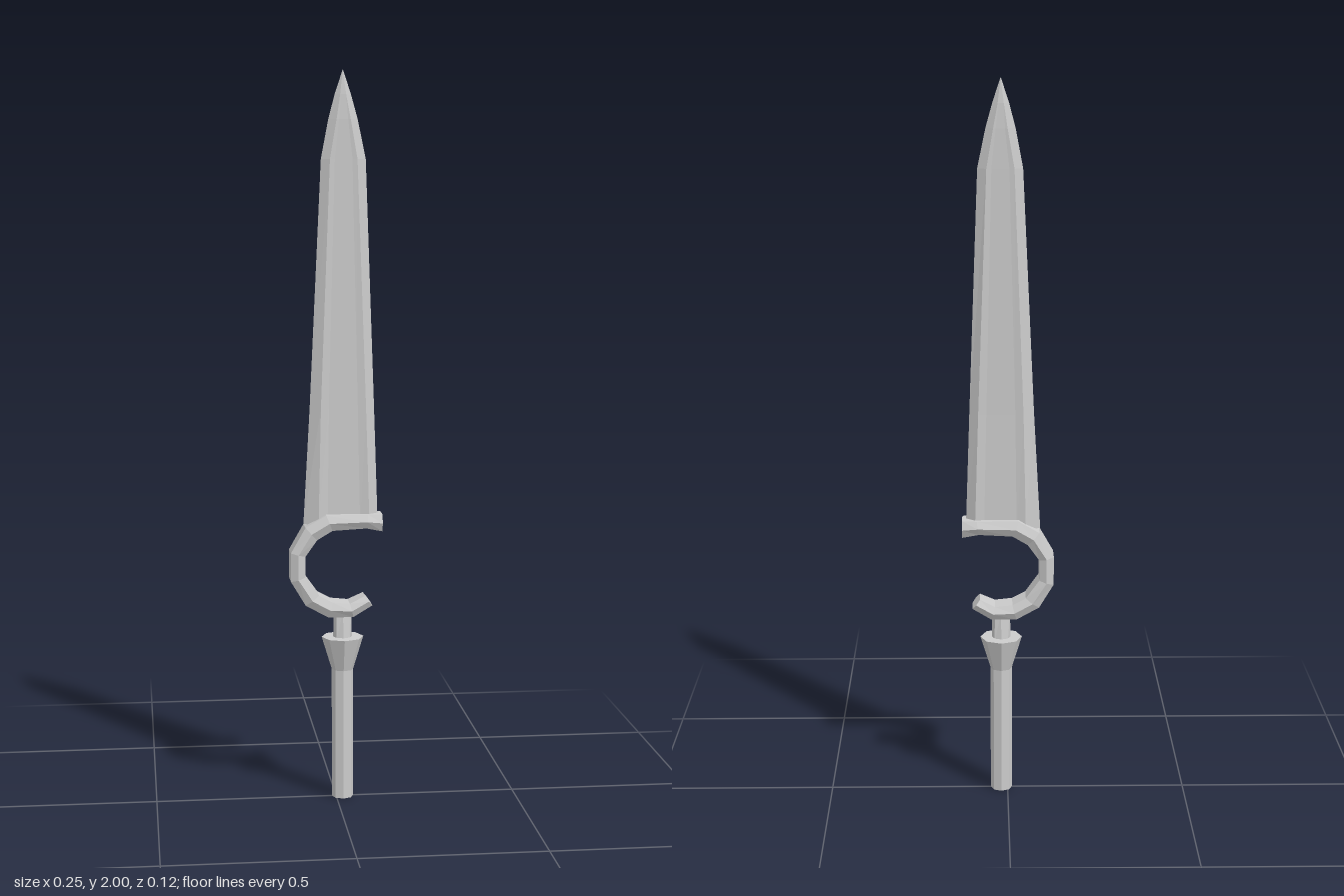
import * as THREE from 'three';

const CENTER_X = 0.018;

function makeMaterial() {
  return new THREE.MeshStandardMaterial({ color: 0xcccccc, flatShading: true });
}

// Skins a closed solid over rings; each ring runs counter-clockwise seen from the end of the path.
function loft(rings) {
  const pos = [];
  const tri = (a, b, c) => pos.push(...a, ...b, ...c);
  const n = rings[0].length;
  const middle = (ring) => [0, 1, 2].map((k) => ring.reduce((s, p) => s + p[k], 0) / n);
  const first = rings[0];
  const last = rings[rings.length - 1];
  const m0 = middle(first);
  const m1 = middle(last);
  for (let j = 0; j < n; j++) {
    const k = (j + 1) % n;
    for (let i = 0; i < rings.length - 1; i++) {
      const [a, b, c, d] = [rings[i][j], rings[i][k], rings[i + 1][k], rings[i + 1][j]];
      tri(a, b, c);
      tri(a, c, d);
    }
    tri(m0, first[k], first[j]);
    tri(m1, last[j], last[k]);
  }
  const geo = new THREE.BufferGeometry();
  geo.setAttribute('position', new THREE.Float32BufferAttribute(pos, 3));
  geo.computeVertexNormals();
  return geo;
}

// Blade: bevelled edges, ridges and a shallow hollow between them.
function bladeGeometry() {
  // y, left edge, left ridge, right ridge, right edge, ridge depth, hollow depth
  const rows = [
    [0.775, -0.09, -0.05, 0.09, 0.115, 0.02, 0.015],
    [1.1, -0.072, -0.043, 0.08, 0.104, 0.018, 0.014],
    [1.765, -0.041, -0.018, 0.056, 0.08, 0.015, 0.013],
    [1.87, -0.021, 0, 0.038, 0.058, 0.013, 0.012],
    [1.935, -0.004, 0.01, 0.026, 0.04, 0.009, 0.009],
    [2.0, 0.0175, 0.018, 0.018, 0.0185, 0.0005, 0.0005],
  ];
  return loft(rows.map(([y, eL, rL, rR, eR, zr, zc]) => {
    const inset = (rR - rL) * 0.18;
    const face = [[rL, zr], [rL + inset, zc], [rR - inset, zc], [rR, zr]];
    const back = face.map(([x, z]) => [x, -z]).reverse();
    return [[eL, 0], ...face, [eR, 0], ...back].map(([x, z]) => [x, y, z]);
  }));
}

// Hook guard: open C with a chamfered section.
function hookGeometry() {
  // outer x, outer y, inner x, inner y, half depth
  const rows = [
    [0.125, 0.803, 0.125, 0.755, 0.036],
    [0.085, 0.803, 0.08, 0.765, 0.042],
    [-0.03, 0.803, -0.013, 0.76, 0.042],
    [-0.087, 0.77, -0.055, 0.735, 0.042],
    [-0.127, 0.7, -0.087, 0.69, 0.042],
    [-0.127, 0.62, -0.087, 0.632, 0.042],
    [-0.087, 0.553, -0.05, 0.58, 0.042],
    [-0.024, 0.518, -0.013, 0.56, 0.042],
    [0.045, 0.518, 0.035, 0.555, 0.042],
    [0.098, 0.548, 0.077, 0.575, 0.036],
  ];
  return loft(rows.map(([ox, oy, ix, iy, z]) => {
    const mx = (ox + ix) / 2;
    const my = (oy + iy) / 2;
    const zc = z - 0.011;
    return [[ox, oy, zc], [ox, oy, -zc], [mx, my, -z], [ix, iy, -zc], [ix, iy, zc], [mx, my, z]];
  }));
}

// Eight-sided section of the grip between two heights.
function gripPart(y0, y1, r0, r1) {
  const geo = new THREE.CylinderGeometry(r1, r0, y1 - y0, 8);
  geo.translate(CENTER_X, (y0 + y1) / 2, 0);
  return geo;
}

// Neck narrows in depth towards the hook.
function neckGeometry() {
  const geo = gripPart(0.45, 0.53, 0.026, 0.025);
  const p = geo.attributes.position;
  for (let i = 0; i < p.count; i++) {
    if (p.getY(i) > 0.5) p.setZ(i, p.getZ(i) * 0.55);
  }
  geo.computeVertexNormals();
  return geo;
}

export function createModel() {
  const group = new THREE.Group();
  group.name = 'hookedDagger';
  const material = makeMaterial();
  const parts = {
    blade: bladeGeometry(),
    hookGuard: hookGeometry(),
    neck: neckGeometry(),
    collar: gripPart(0.365, 0.457, 0.03, 0.058),
    handle: gripPart(0, 0.365, 0.03, 0.03),
  };
  for (const [name, geometry] of Object.entries(parts)) {
    const mesh = new THREE.Mesh(geometry, material);
    mesh.name = name;
    group.add(mesh);
  }
  return group;
}
